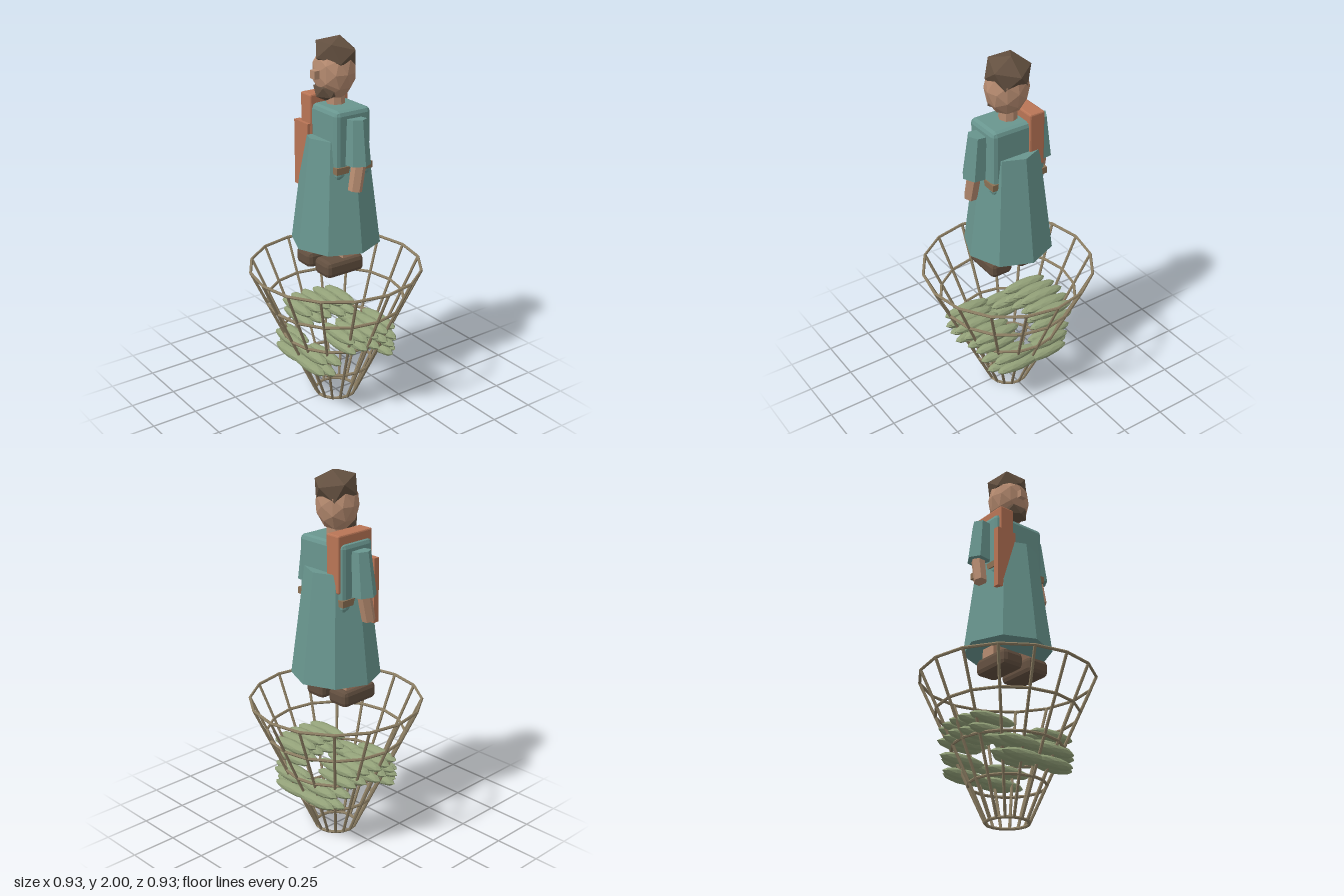
import * as THREE from 'three';
import { RoundedBoxGeometry } from 'three/addons/geometries/RoundedBoxGeometry.js';

const mat = (name, color) => new THREE.MeshStandardMaterial({ name, color, flatShading: true });

export function createModel() {
  const root = new THREE.Group();
  const wicker = mat('wicker', 0x8c7e63);
  const green = mat('sage green', 0x92a078);
  const teal = mat('teal cloth', 0x69968f);
  const skin = mat('skin', 0xb68b70);
  const orange = mat('terracotta cloth', 0xb97556);
  const brown = mat('dark brown', 0x635040);
  const tan = mat('belt leather', 0x8c7154);

  function add(name, geo, material, x = 0, y = 0, z = 0, parent = root) {
    const m = new THREE.Mesh(geo, material);
    m.name = name;
    m.position.set(x, y, z);
    parent.add(m);
    return m;
  }
  // Straight rod between two points, tapering from ra to rb
  function rod(name, a, b, ra, rb, sides, material, parent = root, spin = 0) {
    const A = new THREE.Vector3(...a), B = new THREE.Vector3(...b);
    const d = B.clone().sub(A);
    const geo = new THREE.CylinderGeometry(rb, ra, d.length(), sides);
    geo.rotateY(spin);
    const m = add(name, geo, material, 0, 0, 0, parent);
    m.position.copy(A).add(B).multiplyScalar(0.5);
    m.quaternion.setFromUnitVectors(new THREE.Vector3(0, 1, 0), d.normalize());
    return m;
  }
  // Icosahedron standing on a corner, with one upper corner facing back
  function gem(rx, ry, rz) {
    const g = new THREE.IcosahedronGeometry(1, 0);
    g.rotateX(-Math.atan2((1 + Math.sqrt(5)) / 2, 1));
    g.rotateY(Math.PI);
    return g.scale(rx, ry, rz);
  }

  // Conical basket frame
  const basket = new THREE.Group();
  basket.name = 'basket';
  root.add(basket);
  const N = 16, y0 = 0.01, y1 = 0.765, r0 = 0.11, r1 = 0.457;
  for (let i = 0; i < 5; i++) {
    const t = i / 4;
    const ring = new THREE.TorusGeometry(r0 + (r1 - r0) * t, 0.008, 6, N);
    ring.rotateX(Math.PI / 2);
    add('basketRing', ring, wicker, 0, y0 + (y1 - y0) * t, 0, basket);
  }
  for (let i = 0; i < N; i++) {
    const a = (i / N) * Math.PI * 2, c = Math.cos(a), s = Math.sin(a);
    rod('basketStave', [r0 * c, y0, r0 * s], [r1 * c, y1, r1 * s], 0.008, 0.008, 6, wicker, basket);
  }

  // Leaf bundles: side piles above, front and back piles below
  const leaves = new THREE.Group();
  leaves.name = 'leafBundles';
  root.add(leaves);
  const leafGeo = new THREE.IcosahedronGeometry(1, 1).scale(0.142, 0.031, 0.036);
  const leaf = (x, y, z) => add('leaf', leafGeo, green, x, y, z, leaves);
  for (const s of [-1, 1]) {
    [-0.155, -0.09, -0.015, 0.05, 0.12].forEach((z, i) => {
      const bow = 0.215 - 1.6 * z * z;
      leaf(s * bow, 0.47, z);
      leaf(s * (bow - (i % 2) * 0.015), 0.41, z - 0.008);
    });
    for (const k of [-1, 1]) {
      leaf(k * 0.15, 0.345, s * 0.175);
      leaf(k * 0.10, 0.345, s * 0.228);
      leaf(k * 0.12, 0.275, s * 0.19);
      leaf(k * 0.085, 0.275, s * 0.235);
    }
  }

  // Shoes, legs and arms
  for (const s of [-1, 1]) {
    add('shoe', new RoundedBoxGeometry(0.13, 0.09, 0.235, 1, 0.025), brown, s * 0.085, 0.815, 0.038);
    add('leg', new THREE.BoxGeometry(0.085, 0.35, 0.09), skin, s * 0.085, 1.02, 0);
    rod('sleeve', [s * 0.2, 1.388, 0.005], [s * 0.18, 1.62, 0], 0.064, 0.05, 6, teal, root, Math.PI / 2);
    rod('forearm', [s * 0.207, 1.255, 0.03], [s * 0.2, 1.43, -0.005], 0.036, 0.038, 6, skin, root, Math.PI / 2);
  }

  // Robe
  add('skirt', new THREE.CylinderGeometry(0.16, 0.235, 0.585, 8), teal, 0, 1.2075, 0);
  add('torso', new RoundedBoxGeometry(0.315, 0.36, 0.215, 1, 0.025), teal, 0, 1.48, 0);
  add('belt', new THREE.BoxGeometry(0.33, 0.035, 0.222), tan, 0, 1.357, 0);

  // Sash over the right shoulder with a hanging front panel
  add('shoulderSash', new RoundedBoxGeometry(0.088, 0.3, 0.235, 1, 0.008), orange, -0.096, 1.555, 0);
  add('sashPanel', new THREE.BoxGeometry(0.118, 0.345, 0.034), orange, -0.115, 1.382, 0.118);

  // Head
  add('neck', new THREE.CylinderGeometry(0.045, 0.05, 0.1, 8), skin, 0, 1.68, 0);
  add('head', new THREE.IcosahedronGeometry(1, 1).scale(0.115, 0.145, 0.11), skin, 0, 1.825, 0.01);
  add('nose', new THREE.BoxGeometry(0.04, 0.042, 0.06), skin, 0, 1.823, 0.11);
  add('beard', gem(0.08, 0.054, 0.065), brown, 0, 1.733, 0.06);
  const hair = add('hair', gem(0.125, 0.092, 0.122), brown, 0, 1.911, 0);
  hair.rotation.x = -0.28;

  return root;
}
